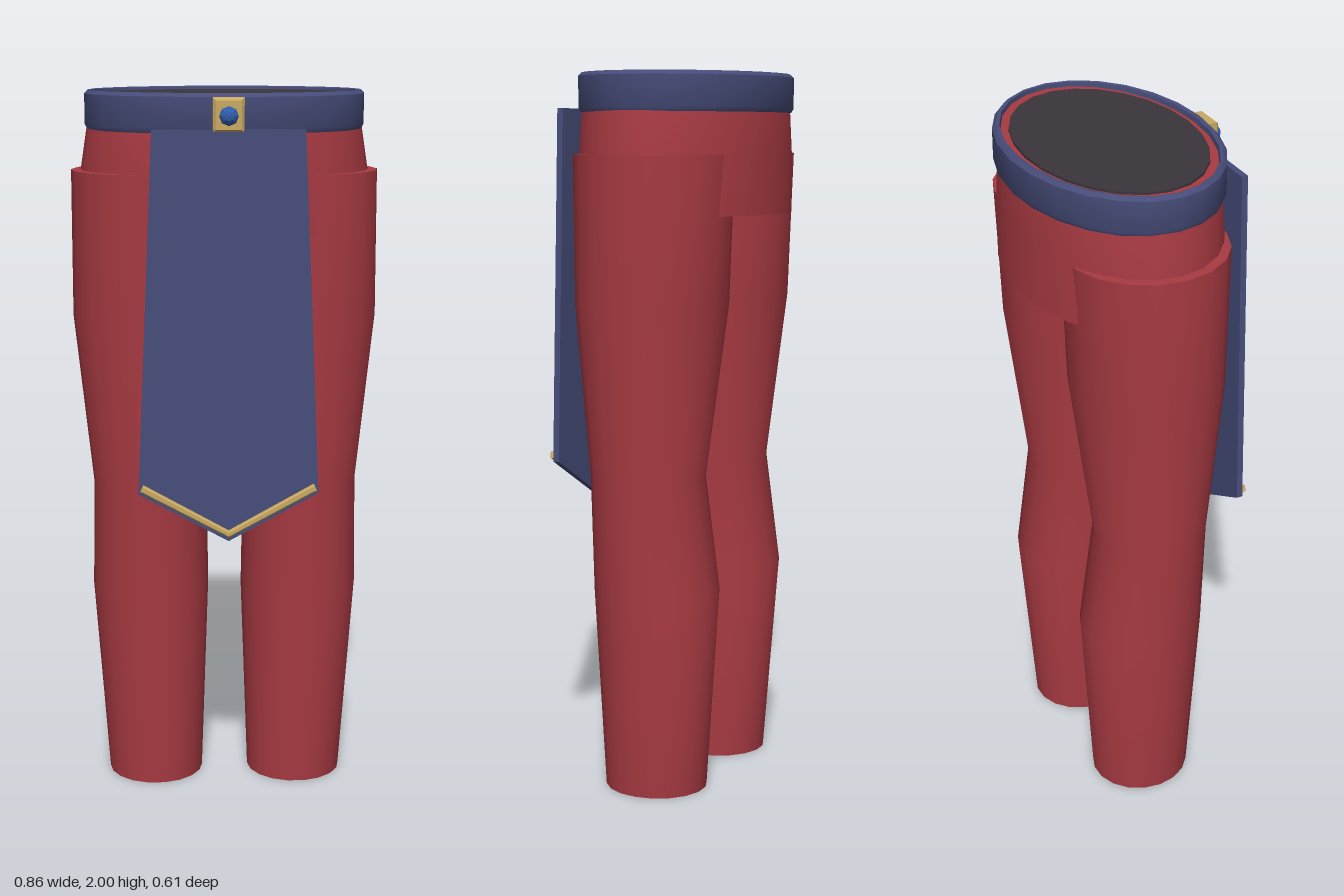
import * as THREE from 'three';
import { toCreasedNormals } from 'three/addons/utils/BufferGeometryUtils.js';

const paint = (color, extra = {}) => new THREE.MeshStandardMaterial({ color, ...extra });
const red = paint(0xa83a42);
const blue = paint(0x474d7a);
const gold = paint(0xc9a961);
const dark = paint(0x39353c);
const gemBlue = paint(0x2f5cab, { flatShading: true });

// Elliptical loft: rows run from top to bottom as [y, rx, rz, cx, cz]
function loft(rows, sides, open = false) {
  const k = rows.length - 1;
  const geo = new THREE.CylinderGeometry(1, 1, 1, sides, k, open, Math.PI / 2);
  const p = geo.attributes.position;
  for (let i = 0; i < p.count; i++) {
    const [y, rx, rz, cx = 0, cz = -0.028] = rows[Math.round((0.5 - p.getY(i)) * k)];
    p.setXYZ(i, cx + p.getX(i) * rx, y, cz + p.getZ(i) * rz);
  }
  return toCreasedNormals(geo, 0.65);
}

function extrude(points, z, depth, bevel = 0) {
  const shape = new THREE.Shape(points.map(([x, y]) => new THREE.Vector2(x, y)));
  const geo = new THREE.ExtrudeGeometry(shape, {
    depth: depth - 2 * bevel, bevelEnabled: bevel > 0, bevelSize: bevel,
    bevelThickness: bevel, bevelOffset: -bevel, bevelSegments: 1,
  });
  return geo.translate(0, 0, z + bevel);
}

export function createModel() {
  const group = new THREE.Group();
  const add = (name, geo, mat) => {
    const mesh = new THREE.Mesh(geo, mat);
    mesh.name = name;
    group.add(mesh);
    return mesh;
  };

  // Hips, with the dark waist opening on top
  add('hips', loft([
    [1.985, 0.375, 0.255], [1.89, 0.386, 0.268], [1.78, 0.403, 0.271], [1.615, 0.403, 0.272],
  ], 24), red);
  add('waistOpening', loft([[1.992, 0.34, 0.237], [1.98, 0.34, 0.237]], 24), dark);

  // Belt band with chamfered edges
  add('belt', loft([
    [1.98, 0.375, 0.255], [1.998, 0.375, 0.258], [2, 0.38, 0.27], [1.99, 0.39, 0.279],
    [1.905, 0.39, 0.279], [1.893, 0.384, 0.272], [1.893, 0.365, 0.25],
  ], 24, true), blue);

  // Trouser legs: thigh, knee, calf, ankle
  for (const [name, s] of [['leftLeg', 1], ['rightLeg', -1]]) {
    add(name, loft([
      [1.78, 0.22, 0.222, s * 0.21, -0.028],
      [1.37, 0.22, 0.21, s * 0.21, -0.022],
      [0.89, 0.163, 0.16, s * 0.215, -0.011],
      [0.57, 0.168, 0.178, s * 0.216, -0.038],
      [0, 0.137, 0.145, s * 0.205, -0.03],
    ], 18), red);
  }

  // Hanging front panel and its pointed gold trim
  add('frontPanel', extrude([
    [-0.205, 1.905], [-0.248, 0.915], [0, 0.78], [0.248, 0.915], [0.205, 1.905],
  ], 0.257, 0.018), blue);
  add('panelTrim', extrude([
    [-0.235, 0.943], [-0.243, 0.924], [0, 0.793], [0.243, 0.924], [0.235, 0.943], [0, 0.812],
  ], 0.273, 0.018, 0.004), gold);

  // Buckle plate and faceted gem
  add('buckle', extrude([
    [-0.042, 1.898], [0.042, 1.898], [0.042, 1.99], [-0.042, 1.99],
  ], 0.243, 0.038, 0.008), gold);
  const gem = add('buckleGem', new THREE.SphereGeometry(0.026, 8, 6), gemBlue);
  gem.rotation.x = Math.PI / 2;
  gem.scale.y = 0.75;
  gem.position.set(0, 1.942, 0.285);

  return group;
}
